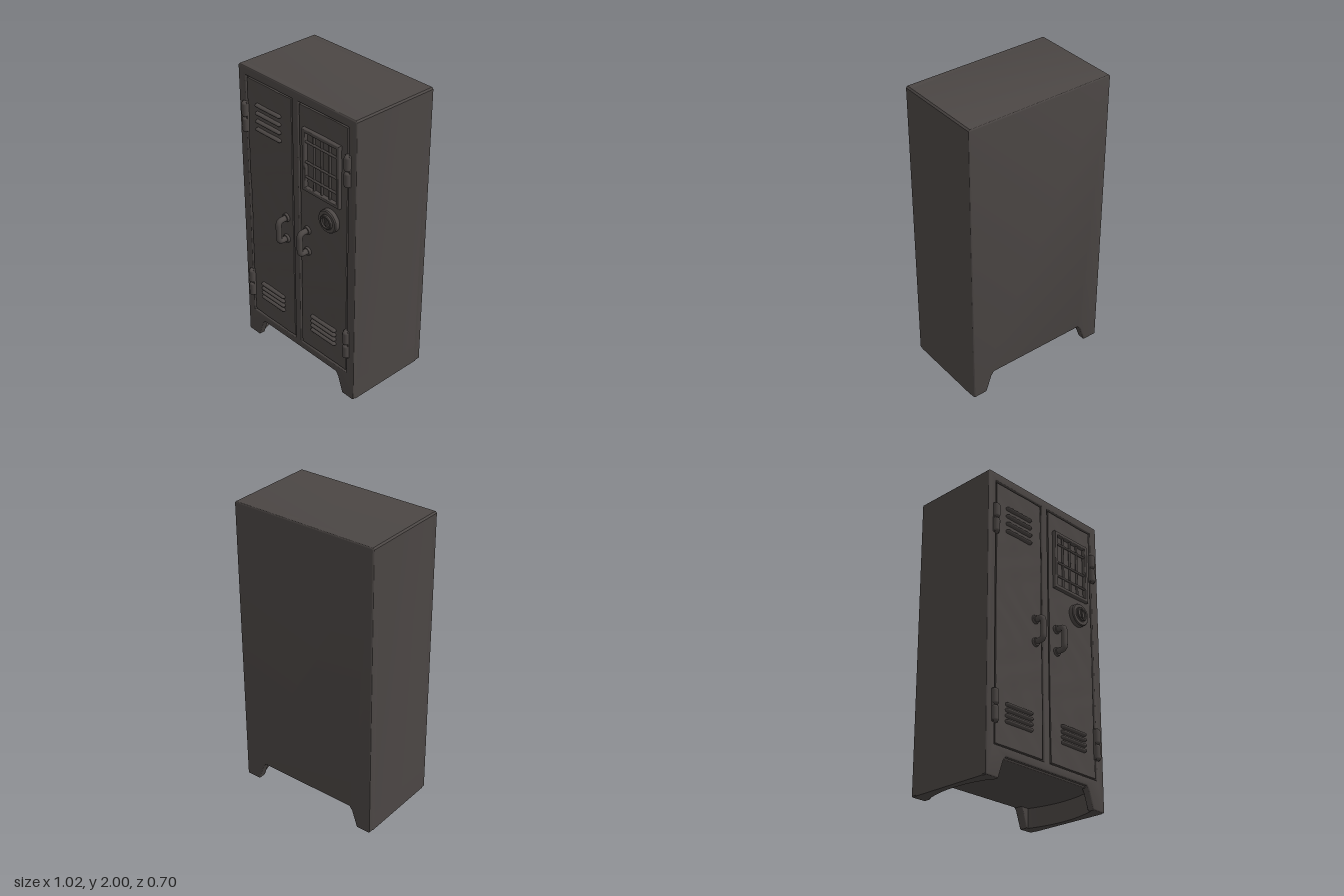
import * as THREE from 'three';
import { toCreasedNormals } from 'three/addons/utils/BufferGeometryUtils.js';
import { RoundedBoxGeometry } from 'three/addons/geometries/RoundedBoxGeometry.js';

const metal = new THREE.MeshStandardMaterial({ color: 0x4b4644 });
metal.name = 'dark painted steel';

function add(parent, name, geometry, x = 0, y = 0, z = 0) {
  const mesh = new THREE.Mesh(geometry, metal);
  mesh.name = name;
  mesh.position.set(x, y, z);
  parent.add(mesh);
  return mesh;
}

const outline = pts => pts.map(p => new THREE.Vector2(...p));
const rect = (x0, x1, y0, y1) => outline([[x0, y0], [x1, y0], [x1, y1], [x0, y1]]);

// Sheet with softened edges, extruded between two depths
function slab(points, z0, z1, holes = [], bevel = 0.008) {
  const shape = new THREE.Shape(points);
  holes.forEach(h => shape.holes.push(new THREE.Path(h)));
  const geo = new THREE.ExtrudeGeometry(shape, {
    depth: z1 - z0 - 2 * bevel, bevelThickness: bevel, bevelSize: bevel,
    bevelOffset: -bevel, bevelSegments: 3, curveSegments: 8,
  });
  geo.translate(0, 0, z0 + bevel);
  return toCreasedNormals(geo, 0.7);
}

// Front silhouette: box with two splayed legs
const silhouette = () => outline([
  [-0.51, 0.006], [-0.504, 0], [-0.41, 0], [-0.37, 0.115], [-0.35, 0.14],
  [0.35, 0.14], [0.37, 0.115], [0.41, 0], [0.504, 0], [0.51, 0.006],
  [0.51, 1.99], [0.5, 2], [-0.5, 2], [-0.51, 1.99],
]);

// Slightly dented door panel
function doorGeometry(w, h, seed) {
  const geo = new THREE.BoxGeometry(w, h, 0.03, 20, 70, 1);
  const p = geo.attributes.position;
  for (let i = 0; i < p.count; i++) {
    if (p.getZ(i) < 0) continue;
    const x = p.getX(i), y = p.getY(i);
    const dent = Math.sin(x * 23 + seed + 2 * Math.sin(y * 9)) * Math.sin(y * 17 + seed * 2 + x * 8);
    p.setZ(i, p.getZ(i) + 0.002 * dent);
  }
  geo.computeVertexNormals();
  return geo;
}

// Stack of four pressed louvres
function vent(parent, name, x, y0, step) {
  const group = new THREE.Group();
  group.name = name;
  for (let i = 0; i < 4; i++) {
    const geo = new THREE.CapsuleGeometry(0.012, 0.2, 6, 12);
    geo.rotateZ(Math.PI / 2);
    geo.scale(1, 1, 1.8);
    add(group, 'louvre', geo, x, y0 + i * step, 0.262);
  }
  parent.add(group);
}

// Pull handle with two round mounts
function handle(parent, x) {
  const group = new THREE.Group();
  group.name = 'handle';
  const path = new THREE.CurvePath();
  const v = (y, z) => new THREE.Vector3(0, y, z);
  path.add(new THREE.LineCurve3(v(-0.075, 0.255), v(-0.075, 0.3)));
  path.add(new THREE.QuadraticBezierCurve3(v(-0.075, 0.3), v(-0.075, 0.33), v(-0.045, 0.33)));
  path.add(new THREE.LineCurve3(v(-0.045, 0.33), v(0.045, 0.33)));
  path.add(new THREE.QuadraticBezierCurve3(v(0.045, 0.33), v(0.075, 0.33), v(0.075, 0.3)));
  path.add(new THREE.LineCurve3(v(0.075, 0.3), v(0.075, 0.255)));
  add(group, 'handleBar', new THREE.TubeGeometry(path, 60, 0.019, 14));
  for (const y of [-0.077, 0.077]) {
    const mount = new THREE.CylinderGeometry(0.026, 0.031, 0.025, 20);
    mount.rotateX(Math.PI / 2);
    add(group, 'handleMount', mount, 0, y, 0.265);
  }
  group.position.set(x, 1.02, 0);
  parent.add(group);
}

// Barrel hinge made of two knuckles on a thin leaf
function hinge(parent, x, y) {
  const group = new THREE.Group();
  group.name = 'hinge';
  add(group, 'hingeLeaf', new RoundedBoxGeometry(0.042, 0.205, 0.025, 2, 0.005), 0, 0, 0.264);
  for (const s of [-1, 1]) {
    const knuckle = new THREE.CapsuleGeometry(0.022, 0.086, 3, 16);
    knuckle.scale(1, 0.81, 1);
    add(group, 'hingeKnuckle', knuckle, 0, s * 0.052, 0.274);
  }
  group.position.set(x, y, 0);
  parent.add(group);
}

// Round lock with stepped rim and key slot
function lock(parent, x, y) {
  const group = new THREE.Group();
  group.name = 'lock';
  const profile = outline([
    [0.076, 0], [0.076, 0.034], [0.07, 0.041], [0.05, 0.041], [0.046, 0.038],
    [0.046, 0.05], [0.042, 0.054], [0.034, 0.054], [0.032, 0.045], [0, 0.045],
  ]);
  const geo = new THREE.LatheGeometry(profile, 36);
  geo.rotateX(Math.PI / 2);
  add(group, 'lockBody', toCreasedNormals(geo, 0.5), 0, 0, 0.255);
  const slot = add(group, 'keySlot', new RoundedBoxGeometry(0.014, 0.054, 0.014, 2, 0.004), 0, 0, 0.301);
  slot.rotation.z = 0.15;
  group.position.set(x, y, 0);
  parent.add(group);
}

export function createModel() {
  const model = new THREE.Group();
  model.name = 'locker';

  // Cabinet shell
  const doorHoles = [rect(-0.445, -0.03, 0.195, 1.94), rect(0.025, 0.445, 0.195, 1.94)];
  const bodyOutline = outline([[-0.51, 0.13], [0.51, 0.13], [0.51, 1.99], [0.5, 2], [-0.5, 2], [-0.51, 1.99]]);
  add(model, 'cabinetBody', slab(bodyOutline, -0.34, 0.245));
  add(model, 'frontFrame', slab(silhouette(), 0.215, 0.265, doorHoles));
  add(model, 'backPanel', slab(silhouette(), -0.35, -0.29));

  // Side skirts, hollowed in a shallow curve between the legs
  for (const s of [-1, 1]) {
    const plan = new THREE.Shape();
    plan.moveTo(0.51 * s, -0.24);
    plan.lineTo(0.51 * s, 0.31);
    plan.lineTo(0.415 * s, 0.31);
    plan.quadraticCurveTo(0.52 * s, 0.03, 0.415 * s, -0.24);
    plan.closePath();
    const geo = new THREE.ExtrudeGeometry(plan, { depth: 0.15, bevelEnabled: false, curveSegments: 16 });
    geo.rotateX(-Math.PI / 2);
    add(model, 'sideSkirt', toCreasedNormals(geo, 0.6));
  }

  // Doors, set just behind the frame with a narrow gap around them
  add(model, 'rightDoor', doorGeometry(0.397, 1.727, 1), -0.2375, 1.0675, 0.246);
  add(model, 'leftDoor', doorGeometry(0.402, 1.727, 4), 0.235, 1.0675, 0.246);

  // Louvres
  vent(model, 'upperVent', -0.243, 1.617, 0.054);
  vent(model, 'rightLowerVent', -0.243, 0.357, 0.035);
  vent(model, 'leftLowerVent', 0.237, 0.357, 0.035);

  // Barred window
  const grille = new THREE.Group();
  grille.name = 'windowGrille';
  model.add(grille);
  add(grille, 'windowFrame', slab(rect(0.075, 0.39, 1.385, 1.8), 0.245, 0.286, [rect(0.1, 0.365, 1.41, 1.775)], 0.006));
  for (const x of [0.166, 0.232, 0.3]) {
    add(grille, 'verticalBar', new THREE.CylinderGeometry(0.008, 0.008, 0.38, 10), x, 1.5925, 0.268);
  }
  for (const y of [1.48, 1.58, 1.715]) {
    const bar = new THREE.CylinderGeometry(0.008, 0.008, 0.28, 10);
    bar.rotateZ(Math.PI / 2);
    add(grille, 'horizontalBar', bar, 0.2325, y, 0.273);
  }

  lock(model, 0.3, 1.265);
  for (const s of [-1, 1]) {
    handle(model, s * 0.097);
    for (const y of [0.425, 1.665]) hinge(model, s * 0.45, y);
  }
  return model;
}
